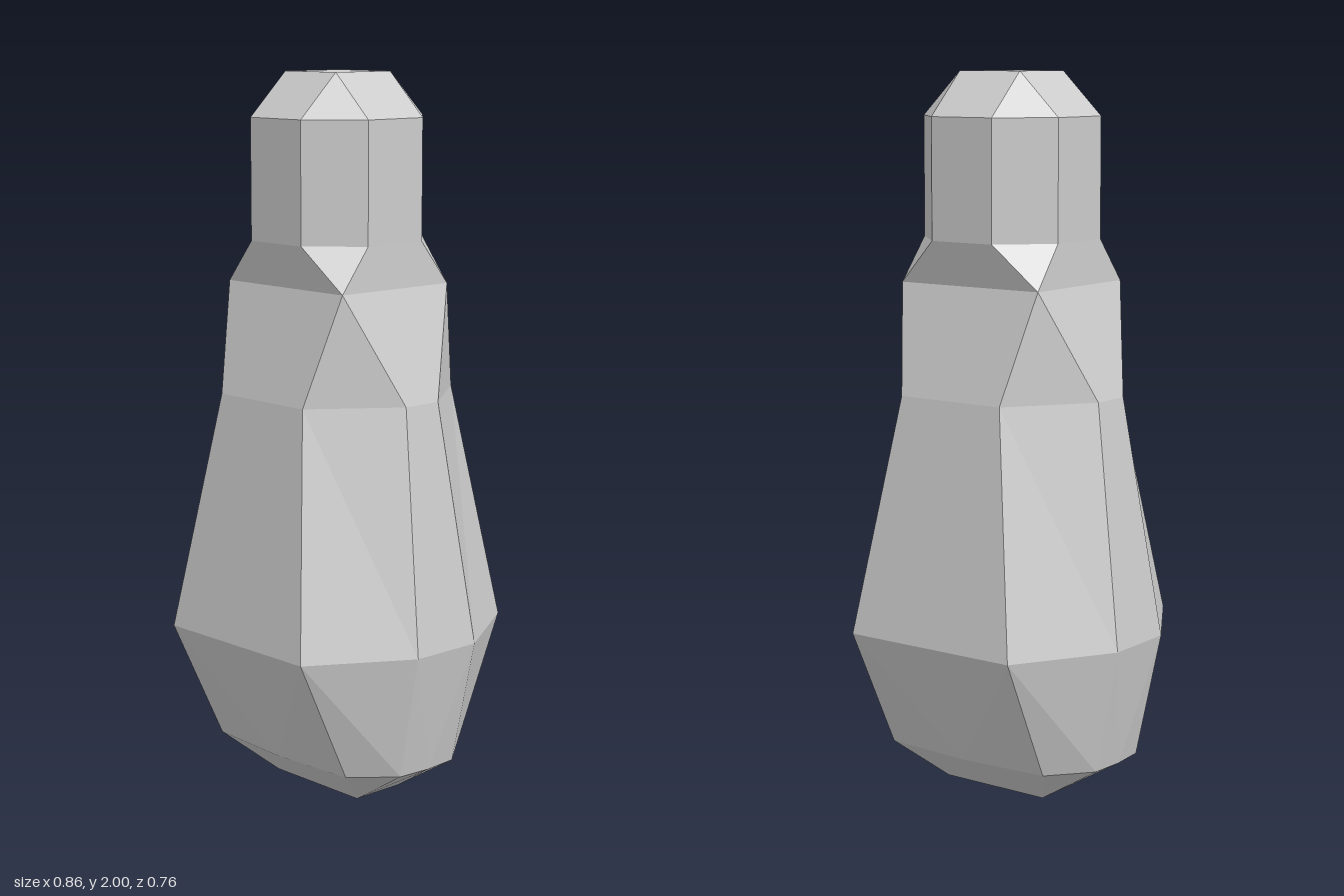
import * as THREE from 'three';

// Cross-sections from bottom to top.
// y, front corner (x, z), side corner (x, z), front middle z, side middle x
const BODY = [
  [0.00, 0.165, 0.08, 0.165, 0.08, 0.08, 0.165],
  [0.12, 0.26, 0.212, 0.357, 0.10, 0.23, 0.365],
  [0.47, 0.265, 0.38, 0.43, 0.108, 0.38, 0.43],
  [1.13, 0.165, 0.28, 0.33, 0.06, 0.28, 0.33],
  [1.43, 0.228, 0.195, 0.228, 0.195, 0.195, 0.228],
];
const HEAD = [
  BODY[4],
  [1.55, 0.10, 0.225, 0.225, 0.10, 0.225, 0.225],
  [1.88, 0.10, 0.225, 0.225, 0.10, 0.225, 0.225],
  [2.00, 0.10, 0.10, 0.10, 0.10, 0.10, 0.10],
];

// Mirror one quarter into a closed 12-point ring, running from +z towards +x
function ring([y, fx, fz, sx, sz, mz, mx]) {
  return [
    [0, mz], [fx, fz], [sx, sz], [mx, 0], [sx, -sz], [fx, -fz],
    [0, -mz], [-fx, -fz], [-sx, -sz], [-mx, 0], [-sx, sz], [-fx, fz],
  ].map(([x, z]) => new THREE.Vector3(x, y, z));
}

// Skin the rings with flat facets; caps close either end
function loft(sections, capBottom, capTop) {
  const rings = sections.map(ring);
  const positions = [];
  const tri = (a, b, c) => {
    if (new THREE.Triangle(a, b, c).getArea() < 1e-6) return;
    for (const p of [a, b, c]) positions.push(p.x, p.y, p.z);
  };
  for (let r = 0; r < rings.length - 1; r++) {
    const lo = rings[r], up = rings[r + 1];
    for (let i = 0; i < 12; i++) {
      const j = (i + 1) % 12;
      // Choose the diagonal so that facets mirror across both axes
      let fromLowI;
      if (i % 3 === 1) fromLowI = i % 2 === 0;
      else fromLowI = (i % 3 === 0) !== (capBottom && r === 0);
      if (fromLowI) {
        tri(lo[i], lo[j], up[j]);
        tri(lo[i], up[j], up[i]);
      } else {
        tri(lo[i], lo[j], up[i]);
        tri(lo[j], up[j], up[i]);
      }
    }
  }
  const cap = (points, y, flip) => {
    const centre = new THREE.Vector3(0, y, 0);
    points.forEach((p, i) => {
      const q = points[(i + 1) % 12];
      if (flip) tri(centre, q, p);
      else tri(centre, p, q);
    });
  };
  if (capBottom) cap(rings[0], sections[0][0], true);
  if (capTop) cap(rings.at(-1), sections.at(-1)[0], false);

  const geometry = new THREE.BufferGeometry();
  geometry.setAttribute('position', new THREE.Float32BufferAttribute(positions, 3));
  geometry.computeVertexNormals();
  return geometry;
}

export function createModel() {
  const group = new THREE.Group();
  group.name = 'facetedPeg';
  const material = new THREE.MeshStandardMaterial({ color: 0xcccccc, flatShading: true });

  // Swelling lower body with a tapered foot
  const body = new THREE.Mesh(loft(BODY, true, false), material);
  body.name = 'body';

  // Neck and chamfered octagonal head
  const head = new THREE.Mesh(loft(HEAD, false, true), material);
  head.name = 'head';

  group.add(body, head);
  return group;
}
